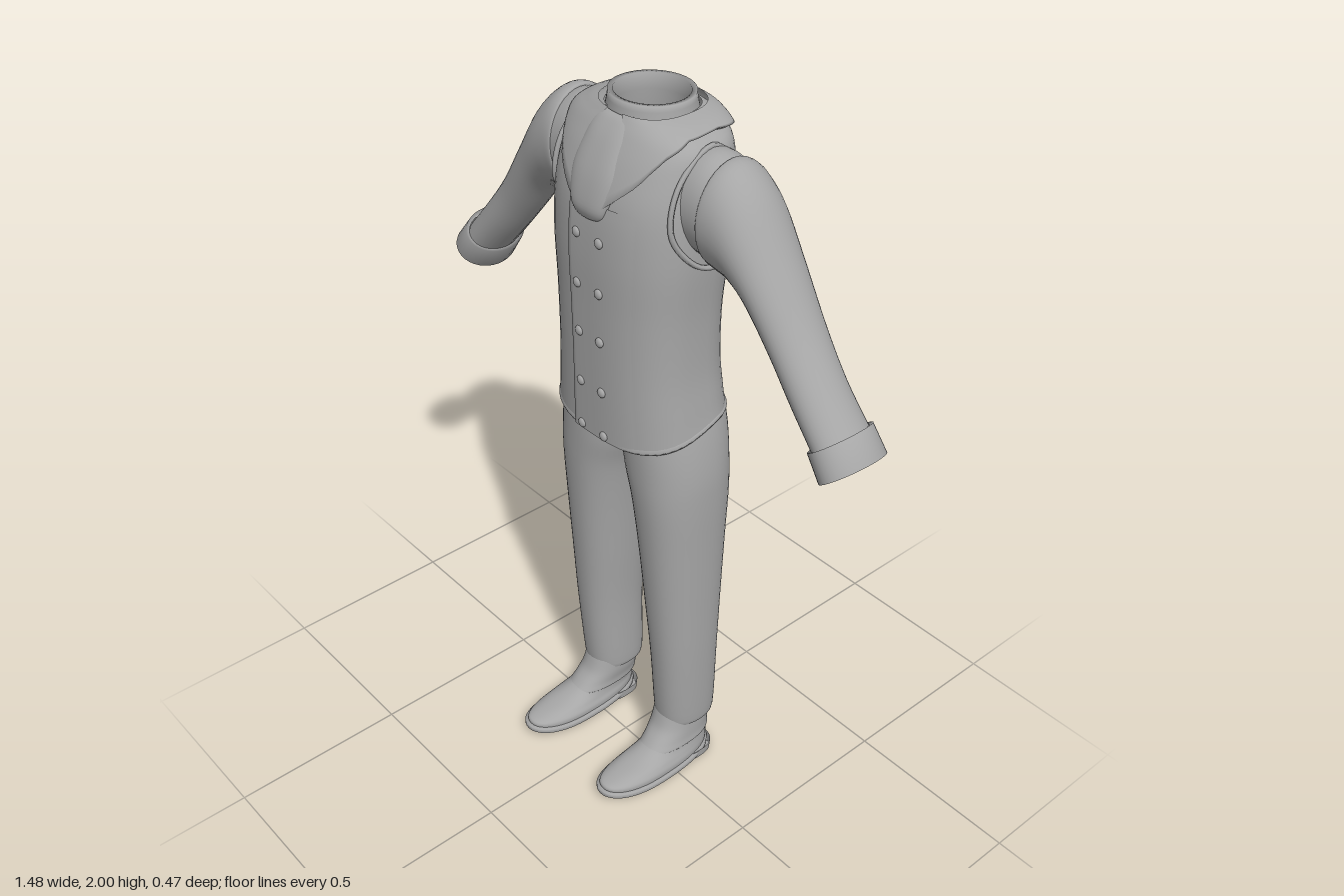
import * as THREE from 'three';

const cloth = new THREE.MeshStandardMaterial({ color: 0xa6a6a6, side: THREE.DoubleSide });
cloth.name = 'grey cloth';
const TAU = Math.PI * 2;
const clamp = (v, a = 0, b = 1) => Math.min(b, Math.max(a, v));

// Grid surface from f(u, v); closed surfaces wrap in u, side = -1 mirrors in x
function surface(name, f, nu, nv, closed = true, side = 1) {
  const pos = [], idx = [], cols = closed ? nu : nu + 1;
  for (let j = 0; j <= nv; j++)
    for (let i = 0; i < cols; i++) {
      const p = f(i / nu, j / nv, j);
      pos.push(p[0] * side, p[1], p[2]);
    }
  for (let j = 0; j < nv; j++)
    for (let i = 0; i < nu; i++) {
      const k = (i + 1) % cols, a = j * cols + i, b = j * cols + k, c = b + cols, d = a + cols;
      if (side > 0) idx.push(a, b, c, a, c, d);
      else idx.push(a, c, b, a, d, c);
    }
  const g = new THREE.BufferGeometry();
  g.setAttribute('position', new THREE.Float32BufferAttribute(pos, 3));
  g.setIndex(idx);
  g.computeVertexNormals();
  const m = new THREE.Mesh(g, cloth);
  m.name = name;
  return m;
}

// Sample a table of rows along t, smoothly or linearly
function sample(rows, t, smooth = true) {
  const n = rows.length - 1, x = clamp(t) * n, i = Math.min(n - 1, Math.floor(x)), f = x - i;
  const r = k => rows[clamp(k, 0, n)];
  return rows[0].map((_, c) => {
    const p0 = r(i - 1)[c], p1 = r(i)[c], p2 = r(i + 1)[c], p3 = r(i + 2)[c];
    if (!smooth) return p1 + (p2 - p1) * f;
    return p1 + 0.5 * f * (p2 - p0 + f * (2 * p0 - 5 * p1 + 4 * p2 - p3 + f * (3 * (p1 - p2) + p3 - p0)));
  });
}

// Point on a level ring; row = [y, centreX, halfWidth, zBack, zFront, frontTilt]
function ring([y, cx, hw, z0, z1, tilt = 0], th, p) {
  const q = v => Math.sign(v) * Math.abs(v) ** (2 / p);
  const z = (z0 + z1) / 2 + (z1 - z0) / 2 * q(Math.cos(th));
  return [cx + hw * q(Math.sin(th)), y + tilt * clamp((z + 0.1) / 0.2), z];
}
const loft = (name, rows, { p = 2, side = 1, smooth = true, nv = (rows.length - 1) * (smooth ? 5 : 1), warp = q => q } = {}) =>
  surface(name, (u, v) => warp(ring(sample(rows, v, smooth), u * TAU, p)), 48, nv, true, side);

// Sleeve-like tube; row = [topX, topY, bottomX, bottomY, zCentre, zHalf]
const sleeveLoft = (name, rows, side, smooth = true) =>
  surface(name, (u, v) => {
    const [ax, ay, bx, by, zc, zh] = sample(rows, v, smooth), c = Math.cos(u * TAU) / 2;
    return [(ax + bx) / 2 + (ax - bx) * c, (ay + by) / 2 + (ay - by) * c, zc + zh * Math.sin(u * TAU)];
  }, 36, (rows.length - 1) * (smooth ? 5 : 1), true, side);

const vestRows = [
  [1.195, 0, 0.23, -0.215, 0.11, -0.06], [1.25, 0, 0.222, -0.21, 0.112, -0.03],
  [1.35, 0, 0.212, -0.203, 0.115, 0], [1.5, 0, 0.212, -0.203, 0.118, 0],
  [1.65, 0, 0.222, -0.217, 0.12, 0], [1.78, 0, 0.222, -0.224, 0.11, 0],
  [1.87, 0, 0.215, -0.22, 0.08, 0], [1.925, 0, 0.2, -0.21, 0.05, 0],
  [1.955, 0, 0.15, -0.2, 0.03, 0], [1.97, 0, 0.105, -0.18, 0.02, 0]];

// Point on the vest pushed outward by off
function vestPoint(th, v, off = 0) {
  const [x, y, z] = ring(sample(vestRows, v), th, 2.6), l = Math.hypot(x, z + 0.06);
  return [x + off * x / l, y + off * 0.6 * clamp(v * 3 - 1.5), z + off * (z + 0.06) / l];
}

function addVest(g) {
  g.add(loft('vest', vestRows, { p: 2.6 }));
  g.add(loft('vestHem', [[1.2, 0, 0.2, -0.19, 0.085, -0.06], [1.193, 0, 0.23, -0.216, 0.11, -0.06],
    [1.201, 0, 0.233, -0.218, 0.113, -0.06], [1.206, 0, 0.228, -0.213, 0.109, -0.055]], { p: 2.6, smooth: false }));

  // Overlapping front panel, raised along its edge
  g.add(surface('frontOverlap', (u, v) =>
    vestPoint(-0.206 + 0.8 * Math.max(0, u - 0.02), v * 0.56, u === 0 ? 0 : 0.007 * (1 - u)), 20, 30, false));

  // Turned collar with lapels, deepest at the front
  const edge = [[0.12, 0.55], [0.5, 0.64], [0.8, 0.75], [1.2, 0.83], [1.7, 0.85], [2.4, 0.8], [3.15, 0.78]];
  const lower = phi => {
    const k = Math.max(1, edge.findIndex(e => e[0] >= phi)), [a, b] = [edge[k - 1], edge[k]];
    return a[1] + (b[1] - a[1]) * (phi - a[0]) / (b[0] - a[0]);
  };
  g.add(surface('collar', (u, v, j) => {
    const th = 0.121 + u * (TAU - 0.242), s = lower(Math.min(th, TAU - th));
    return vestPoint(th, s + (1 - s) * Math.max(0, v - 0.06) / 0.94, j === 0 ? 0 : 0.013);
  }, 72, 16, false));

  // Two columns of buttons
  for (const v of [0.03, 0.167, 0.28, 0.378, 0.48])
    for (const th of [-0.08, 0.125]) {
      const b = new THREE.Mesh(new THREE.SphereGeometry(0.013, 14, 10), cloth);
      b.name = 'button';
      b.scale.z = 0.55;
      b.position.set(...vestPoint(th, v, 0.006));
      g.add(b);
    }

  // Back strap and buckle
  g.add(surface('backStrap', (u, v, j) =>
    vestPoint(Math.PI - 0.38 + 0.76 * u, 0.25 + 0.025 * v, j === 0 || j === 3 ? 0 : 0.009), 16, 3, false));
  const buckle = new THREE.Mesh(new THREE.BoxGeometry(0.025, 0.05, 0.03), cloth);
  buckle.name = 'buckle';
  buckle.position.set(-0.01, 1.403, -0.218);
  g.add(buckle);
}

function addNeck(g) {
  g.add(loft('neckBand', [[1.95, 0, 0.112, -0.187, 0.03], [1.985, 0, 0.105, -0.18, 0.024, -0.005],
    [2.0, 0, 0.105, -0.178, 0.022, -0.008], [2.0, 0, 0.092, -0.165, 0.01, -0.008],
    [1.96, 0, 0.09, -0.165, 0.008], [1.9, 0, 0.1, -0.17, 0.015]], { smooth: false }));
  g.add(loft('cravat', [[1.742, 0, 0.01, 0.1, 0.12], [1.748, 0, 0.045, 0.09, 0.125], [1.78, 0, 0.062, 0.08, 0.13],
    [1.85, 0, 0.076, 0.05, 0.112], [1.92, 0, 0.07, 0.01, 0.078], [1.96, 0, 0.062, -0.01, 0.048],
    [1.972, 0, 0.045, -0.01, 0.03]], { p: 2.6 }));
}

function addArm(g, s) {
  g.add(sleeveLoft('shoulderCap', [[0.17, 1.925, 0.18, 1.68, -0.08, 0.1], [0.225, 1.928, 0.225, 1.67, -0.08, 0.1],
    [0.27, 1.915, 0.265, 1.665, -0.08, 0.1]], s));
  g.add(sleeveLoft('sleeve', [[0.262, 1.905, 0.255, 1.675, -0.082, 0.095], [0.262, 1.924, 0.255, 1.658, -0.083, 0.106],
    [0.302, 1.916, 0.285, 1.65, -0.083, 0.105], [0.362, 1.86, 0.325, 1.643, -0.083, 0.1],
    [0.44, 1.74, 0.377, 1.608, -0.084, 0.09], [0.53, 1.603, 0.447, 1.522, -0.084, 0.08],
    [0.61, 1.5, 0.522, 1.43, -0.08, 0.077], [0.685, 1.412, 0.602, 1.34, -0.08, 0.08]], s));
  g.add(sleeveLoft('cuff', [[0.685, 1.415, 0.6, 1.347, -0.08, 0.08], [0.692, 1.424, 0.59, 1.34, -0.08, 0.09],
    [0.741, 1.365, 0.632, 1.278, -0.08, 0.093], [0.73, 1.356, 0.643, 1.287, -0.08, 0.081],
    [0.66, 1.435, 0.58, 1.375, -0.08, 0.075]], s, false));
  // Armhole edging
  const loop = new THREE.CatmullRomCurve3([[0.198, 1.93, -0.08], [0.2, 1.86, 0.02], [0.207, 1.75, 0.045], [0.225, 1.66, -0.02],
    [0.23, 1.645, -0.08], [0.222, 1.67, -0.14], [0.205, 1.76, -0.165], [0.2, 1.87, -0.15]]
    .map(([x, y, z]) => new THREE.Vector3(x * s, y, z)), true);
  const edging = new THREE.Mesh(new THREE.TubeGeometry(loop, 48, 0.007, 6, true), cloth);
  edging.name = 'armholeEdge';
  g.add(edging);
}

function addLeg(g, s) {
  g.add(loft('trouserLeg', [[0.175, 0.155, 0.06, -0.16, -0.01], [0.168, 0.155, 0.07, -0.176, 0.002],
    [0.4, 0.158, 0.078, -0.175, 0.022], [0.6, 0.153, 0.088, -0.181, 0.038], [0.8, 0.147, 0.099, -0.189, 0.054],
    [0.95, 0.139, 0.111, -0.197, 0.066], [1.05, 0.124, 0.124, -0.2, 0.071], [1.15, 0.113, 0.121, -0.201, 0.073],
    [1.25, 0.1, 0.11, -0.195, 0.07]], { p: 2.2, side: s }));

  // Shoe, with the toe lifted off the ground
  const warp = ([x, y, z]) => [x, y + 0.014 * clamp((z - 0.08) / 0.15) ** 2, z];
  const opt = { p: 2.3, side: s, warp };
  g.add(loft('shoe', [[0.024, 0.165, 0.068, -0.15, 0.226], [0.042, 0.165, 0.068, -0.152, 0.222],
    [0.058, 0.165, 0.062, -0.153, 0.175], [0.076, 0.163, 0.057, -0.153, 0.1], [0.1, 0.16, 0.056, -0.155, 0.052],
    [0.14, 0.155, 0.058, -0.155, 0.016], [0.19, 0.153, 0.058, -0.15, 0]], opt));
  g.add(loft('spat', [[0.084, 0.161, 0.055, -0.152, 0.06], [0.084, 0.161, 0.061, -0.158, 0.07],
    [0.105, 0.159, 0.06, -0.159, 0.05], [0.14, 0.155, 0.062, -0.159, 0.02], [0.185, 0.153, 0.061, -0.155, 0.003]], opt));
  g.add(loft('sole', [[0.009, 0.165, 0.001, 0, 0.05], [0.009, 0.165, 0.072, -0.15, 0.23], [0.013, 0.165, 0.076, -0.156, 0.236],
    [0.027, 0.165, 0.076, -0.156, 0.236], [0.03, 0.165, 0.064, -0.148, 0.222]], { ...opt, smooth: false }));
  g.add(loft('heel', [[0, 0.163, 0.001, -0.1, -0.09], [0, 0.163, 0.062, -0.152, -0.03], [0.002, 0.163, 0.064, -0.154, -0.028],
    [0.03, 0.163, 0.066, -0.156, -0.024]], { p: 2.8, side: s, smooth: false }));
}

export function createModel() {
  const g = new THREE.Group();
  g.name = 'suit';
  addVest(g);
  addNeck(g);
  // Seat of the trousers
  g.add(loft('trouserSeat', [[1.04, 0, 0.02, -0.1, -0.03], [1.06, 0, 0.08, -0.16, 0.02], [1.11, 0, 0.19, -0.193, 0.062],
    [1.18, 0, 0.222, -0.2, 0.074], [1.25, 0, 0.215, -0.198, 0.075]], { p: 2.4 }));
  for (const s of [1, -1]) {
    const arm = new THREE.Group(), leg = new THREE.Group();
    arm.name = s > 0 ? 'leftArm' : 'rightArm';
    leg.name = s > 0 ? 'leftLeg' : 'rightLeg';
    addArm(arm, s);
    addLeg(leg, s);
    g.add(arm, leg);
  }
  return g;
}
